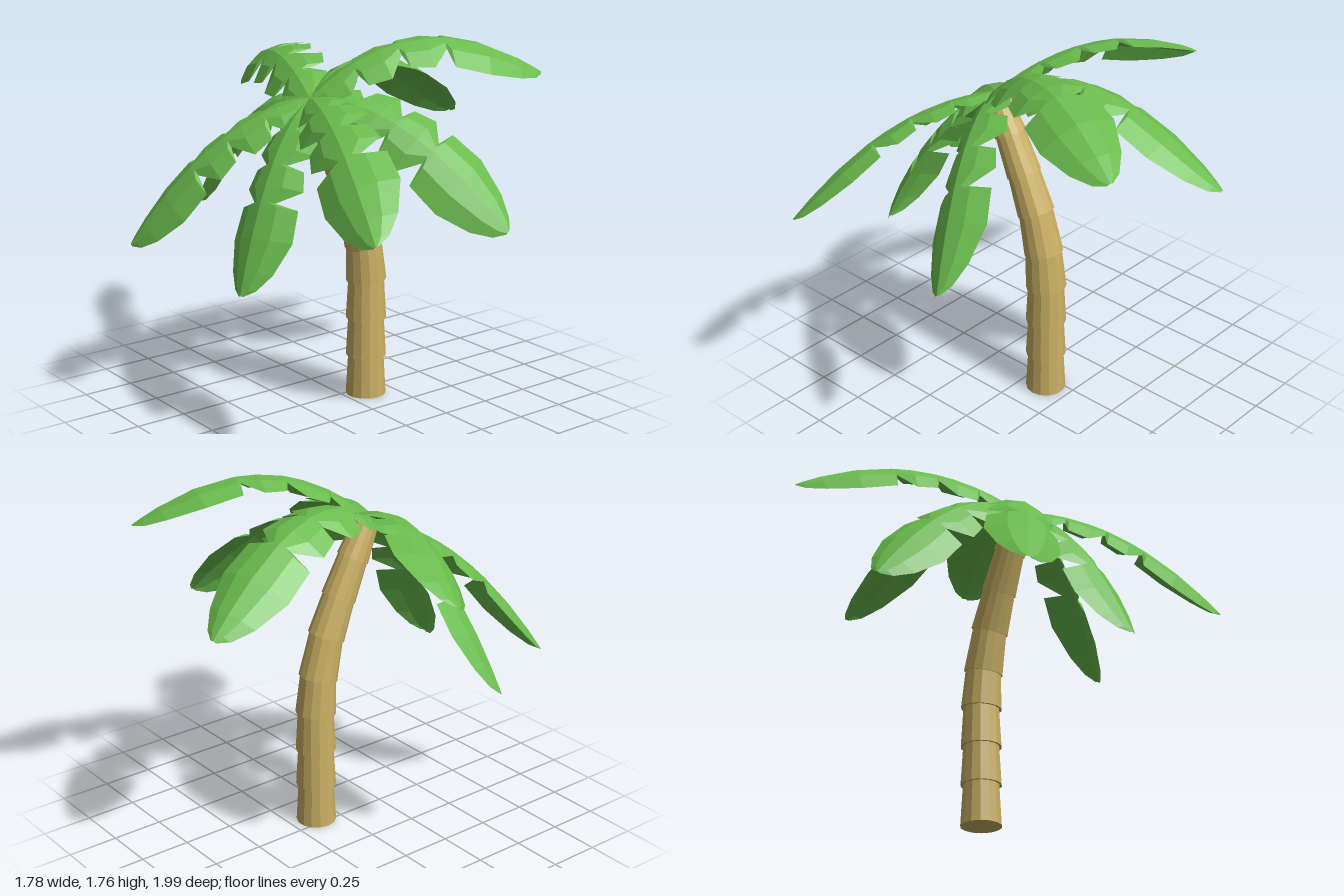
import * as THREE from 'three';

const leafMat = new THREE.MeshStandardMaterial({ color: 0x6abb4d, flatShading: true, side: THREE.DoubleSide });
const barkMat = new THREE.MeshStandardMaterial({ color: 0xc8ae63, flatShading: true });

// The leaves lean with the top of the trunk; the arches lean less
const leafUp = new THREE.Vector3(-0.55, 0.835, 0);
const archUp = new THREE.Vector3(-0.15, 0.98, 0);
const crownBase = new THREE.Vector3(-0.21, 1.51, 0.04);

// Across the leaf: [share of half width, drop], a soft arch
const section = [[-1, 0.42], [-0.5, 0.12], [0, 0], [0.5, 0.12], [1, 0.42]];

// Leaf outline: [share of length, half width], lobes split by notches
function leafOutline() {
  const out = [[0, 0.02], [0.06, 0.1], [0.14, 0.135], [0.2, 0.07]];
  for (const [a, b] of [[0.2, 0.385], [0.385, 0.57]]) {
    const d = b - a;
    out.push([a + d * 0.08, 0.145], [a + d * 0.6, 0.17], [b, 0.065]);
  }
  out.push([0.585, 0.17], [0.74, 0.18], [0.89, 0.125], [0.97, 0.065], [1, 0.015]);
  return out;
}

// Arched leaf lofted along its midrib
function frondGeometry(tip, arch) {
  const control = crownBase.clone().lerp(tip, 0.5).addScaledVector(archUp, arch);
  const curve = new THREE.QuadraticBezierCurve3(crownBase, control, tip);
  const side = tip.clone().sub(crownBase).cross(leafUp).normalize();
  const pos = [], index = [], n = section.length;
  leafOutline().forEach(([u, w], i) => {
    const p = curve.getPointAt(u);
    const up = side.clone().cross(curve.getTangentAt(u)).normalize();
    for (const [s, drop] of section) {
      const v = p.clone().addScaledVector(side, s * w).addScaledVector(up, -drop * w);
      pos.push(v.x, v.y, v.z);
    }
    if (i === 0) return;
    for (let k = 0; k < n - 1; k++) {
      const a = (i - 1) * n + k, b = i * n + k;
      index.push(a, a + 1, b, a + 1, b + 1, b);
    }
  });
  const geo = new THREE.BufferGeometry();
  geo.setAttribute('position', new THREE.Float32BufferAttribute(pos, 3));
  geo.setIndex(index);
  geo.computeVertexNormals();
  return geo;
}

export function createModel() {
  const model = new THREE.Group();

  // Curved trunk of stacked, upward-tapering rings
  const trunk = new THREE.Group();
  trunk.name = 'trunk';
  const line = [[0.115, 0], [0.115, 0.2], [0.115, 0.39], [0.115, 0.585], [0.1, 0.765],
    [0.05, 0.965], [-0.025, 1.145], [-0.11, 1.325], [-0.19, 1.48]].map(([x, y]) => new THREE.Vector3(x, y, 0.05));
  const radii = [0.098, 0.098, 0.098, 0.098, 0.094, 0.09, 0.084, 0.078];
  radii.forEach((r, i) => {
    const dir = line[i + 1].clone().sub(line[i]);
    const h = dir.length() + 0.01;
    const ring = new THREE.Mesh(new THREE.CylinderGeometry(i < 7 ? r - 0.012 : 0.06, r, h, 14), barkMat);
    ring.name = 'trunkRing';
    dir.normalize();
    ring.quaternion.setFromUnitVectors(new THREE.Vector3(0, 1, 0), dir);
    ring.position.copy(line[i]).addScaledVector(dir, h / 2);
    trunk.add(ring);
  });
  model.add(trunk);

  // Crown of arched fronds: tip x, y, z and arch height
  const crown = new THREE.Group();
  crown.name = 'crown';
  const fronds = [
    [0.17, 1.48, -0.99, 0.29],
    [-0.28, 0.89, -0.81, 0.32],
    [-0.89, 0.82, -0.45, 0.27],
    [-0.75, 0.72, 0.25, 0.27],
    [-0.58, 1.09, 0.99, 0.26],
    [0.24, 0.99, 0.9, 0.33],
    [0.83, 1.58, 0.47, 0.44],
    [0.89, 1.27, -0.25, 0.49],
  ];
  for (const [x, y, z, arch] of fronds) {
    const frond = new THREE.Mesh(frondGeometry(new THREE.Vector3(x, y, z), arch), leafMat);
    frond.name = 'frond';
    crown.add(frond);
  }
  model.add(crown);
  return model;
}
